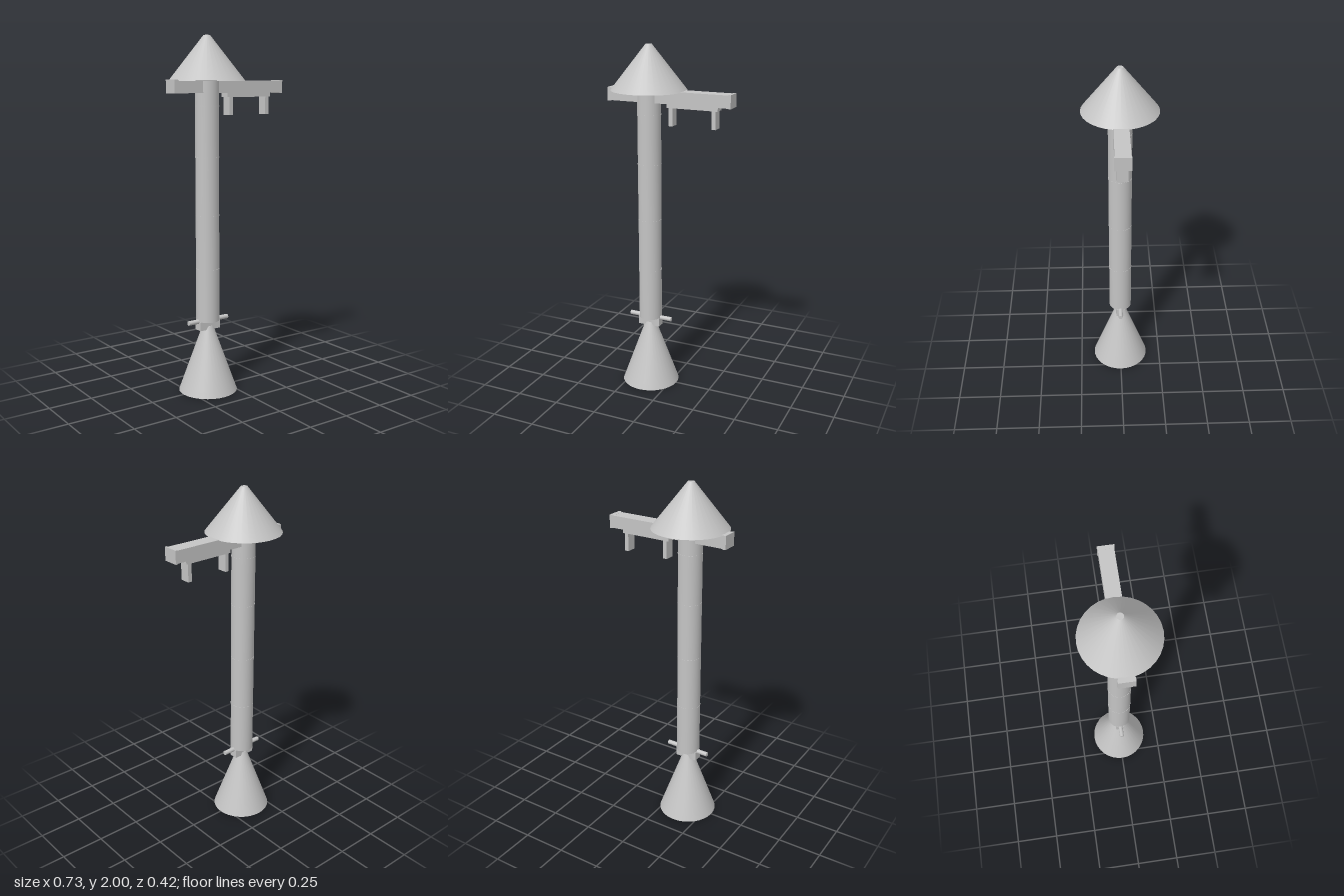
import * as THREE from 'three';

export function createModel() {
  const root = new THREE.Group();
  const grey = new THREE.MeshStandardMaterial({ color: 0xc4c4c4 });
  const CX = -0.13; // axis of the column

  const add = (name, geometry, x, y, z = 0) => {
    const mesh = new THREE.Mesh(geometry, grey);
    mesh.name = name;
    mesh.position.set(x, y, z);
    root.add(mesh);
    return mesh;
  };
  // box given by its limits in x and y, and its half depth
  const box = (name, x0, x1, y0, y1, hz) =>
    add(name, new THREE.BoxGeometry(x1 - x0, y1 - y0, hz * 2), (x0 + x1) / 2, (y0 + y1) / 2);
  const lathe = (points) =>
    new THREE.LatheGeometry(points.map(([r, y]) => new THREE.Vector2(r, y)), 32);

  // Hollow conical foot: outer wall, cap, inner wall, flat rim
  add('footOuterWall', lathe([[0.167, 0], [0.155, 0.033], [0.03, 0.38]]), CX, 0);
  add('footCap', lathe([[0.03, 0.38], [0, 0.38]]), CX, 0);
  add('footInnerWall', lathe([[0, 0.34], [0.016, 0.34], [0.112, 0]]), CX, 0);
  add('footRim', lathe([[0.112, 0], [0.167, 0]]), CX, 0);

  // Clamp and cross rod between foot and column
  box('clamp', CX - 0.066, CX + 0.066, 0.36, 0.412, 0.026);
  add('crossRod', new THREE.CylinderGeometry(0.013, 0.013, 0.264, 16), -0.128, 0.41)
    .rotation.z = Math.PI / 2;

  // Column with thin joint rings
  add('column', new THREE.CylinderGeometry(0.066, 0.066, 1.35, 32), CX, 1.085);
  for (const y of [0.71, 1.015, 1.34, 1.62]) {
    add('jointRing', new THREE.CylinderGeometry(0.067, 0.067, 0.006, 32), CX, y);
  }

  // Crossbeam, slightly flared at both ends
  box('crossbeam', -0.355, 0.355, 1.69, 1.759, 0.041);
  const flaredEnd = (name, x, length, side) => {
    const g = new THREE.BoxGeometry(length, 0.074, 0.088, 2);
    const p = g.attributes.position;
    for (let i = 0; i < p.count; i++) {
      if (p.getX(i) * side < -0.001) {
        p.setY(i, p.getY(i) * 0.932);
        p.setZ(i, p.getZ(i) * 0.932);
      }
    }
    add(name, g, x, 1.725);
  };
  flaredEnd('shortBeamEnd', -0.349, 0.03, -1);
  flaredEnd('longBeamEnd', 0.3505, 0.021, 1);

  // Hanger under the long arm
  box('hangerPlate', -0.012, 0.284, 1.668, 1.692, 0.029);
  for (const x of [0, 0.25]) box('hangerLeg', x, x + 0.023, 1.569, 1.67, 0.029);

  // Conical roof with a small flat tip
  add('roof', new THREE.CylinderGeometry(0.018, 0.211, 0.245, 32), CX, 1.8775);

  return root;
}
